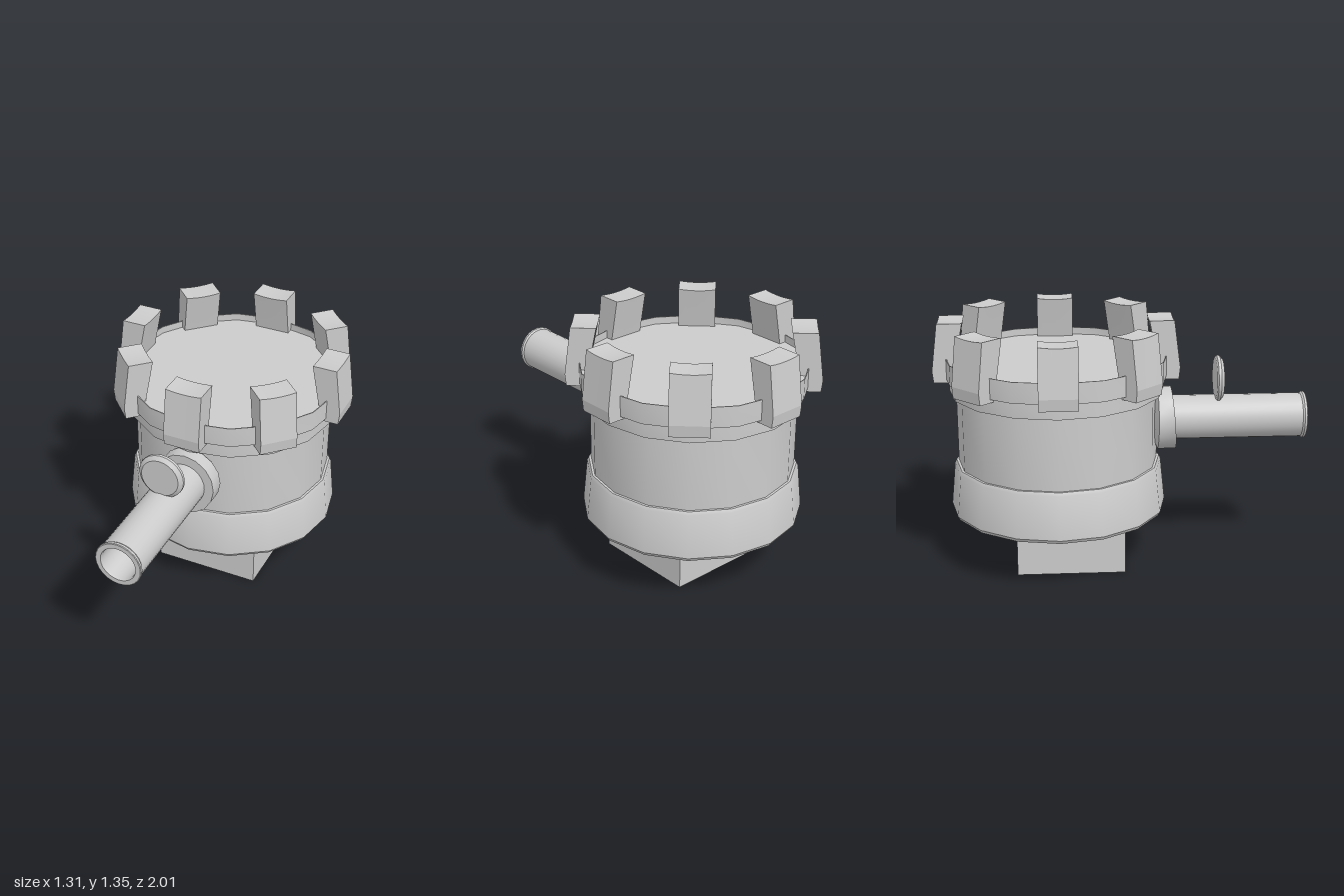
import * as THREE from 'three';
import { toCreasedNormals } from 'three/addons/utils/BufferGeometryUtils.js';

const CENTRE_Z = -0.35;
const PIPE_Y = 0.785;

export function createModel() {
  const model = new THREE.Group();
  const grey = new THREE.MeshStandardMaterial({ color: 0xcccccc, side: THREE.DoubleSide });

  function add(name, geometry, parent = model) {
    const mesh = new THREE.Mesh(geometry, grey);
    mesh.name = name;
    parent.add(mesh);
    return mesh;
  }
  // Turned part from [radius, height] pairs, listed upwards along the outside
  function turned(profile, sides, crease = 0.5) {
    const points = profile.map(([r, y]) => new THREE.Vector2(r, y));
    return toCreasedNormals(new THREE.LatheGeometry(points, sides), crease);
  }

  // Square base under the body
  const base = add('base', new THREE.BoxGeometry(0.59, 0.57, 0.58));
  base.position.set(0, 0.285, -0.29);

  // Round tower
  const tower = new THREE.Group();
  tower.name = 'tower';
  tower.position.z = CENTRE_Z;
  model.add(tower);

  add('body', turned([[0, 0.55], [0.54, 0.55], [0.54, 0.97]], 16), tower);
  add('skirt', turned([
    [0.535, 0.55], [0.55, 0.315], [0.56, 0.296], [0.575, 0.296], [0.586, 0.315],
    [0.562, 0.55], [0.553, 0.567], [0.54, 0.567],
  ], 16, 0.6), tower);
  add('neckRing', turned([[0.53, 0.96], [0.575, 0.96], [0.575, 1.045], [0.55, 1.045]], 16), tower);
  // Thin raised rim around a sunken lid
  add('rim', turned([
    [0.55, 1.045], [0.6, 1.045], [0.6, 1.155], [0.595, 1.155], [0.595, 1.115], [0, 1.115],
  ], 16), tower);

  // Battlement block: a box whose rows lean outwards towards the bottom
  function battlementGeometry() {
    const geometry = new THREE.BoxGeometry(0.2, 2, 1, 6, 2, 1);
    const p = geometry.attributes.position;
    const rows = {
      '-1': { y: 1.027, inner: 0.55, outer: 0.648 },
      '0': { y: 1.09, inner: 0.54, outer: 0.655 },
      '1': { y: 1.345, inner: 0.49, outer: 0.622 },
    };
    for (let i = 0; i < p.count; i++) {
      const row = rows[Math.round(p.getY(i))];
      const x = p.getX(i);
      // the top sags slightly in the middle
      const sag = p.getY(i) > 0.5 ? 0.008 * (1 - (x / 0.1) ** 2) : 0;
      p.setXYZ(i, x, row.y - sag, p.getZ(i) > 0 ? row.outer : row.inner);
    }
    return toCreasedNormals(geometry, 0.2);
  }
  const block = battlementGeometry();
  for (let i = 0; i < 8; i++) {
    add('battlement', block, tower).rotation.y = (i * Math.PI) / 4;
  }

  // Spout: turned about z, so profile height becomes z
  const spout = new THREE.Group();
  spout.name = 'spout';
  spout.position.y = PIPE_Y;
  model.add(spout);

  add('pipe', turned([
    [0.12, 0.17], [0.12, 0.975], [0.127, 0.985], [0.127, 0.997], [0.123, 1.0],
    [0.097, 1.0], [0.093, 0.985], [0.093, 0.3], [0, 0.3],
  ], 24, 0.6).rotateX(Math.PI / 2), spout);

  // Flange with a domed back, its front face leaning a little
  const flange = turned([
    [0, 0.155], [0.06, 0.158], [0.12, 0.17], [0.172, 0.19], [0.172, 0.278], [0, 0.278],
  ], 16).rotateX(Math.PI / 2);
  const f = flange.attributes.position;
  for (let i = 0; i < f.count; i++) {
    if (f.getZ(i) > 0.25) f.setZ(i, f.getZ(i) - f.getY(i) * 0.07);
  }
  add('flange', flange, spout);

  // Round sight disc on top of the pipe
  const disc = add('sightDisc', turned([
    [0, 0.505], [0.112, 0.505], [0.124, 0.512], [0.124, 0.527], [0.103, 0.545], [0, 0.545],
  ], 24).rotateX(Math.PI / 2));
  disc.position.y = 1.0;

  return model;
}
